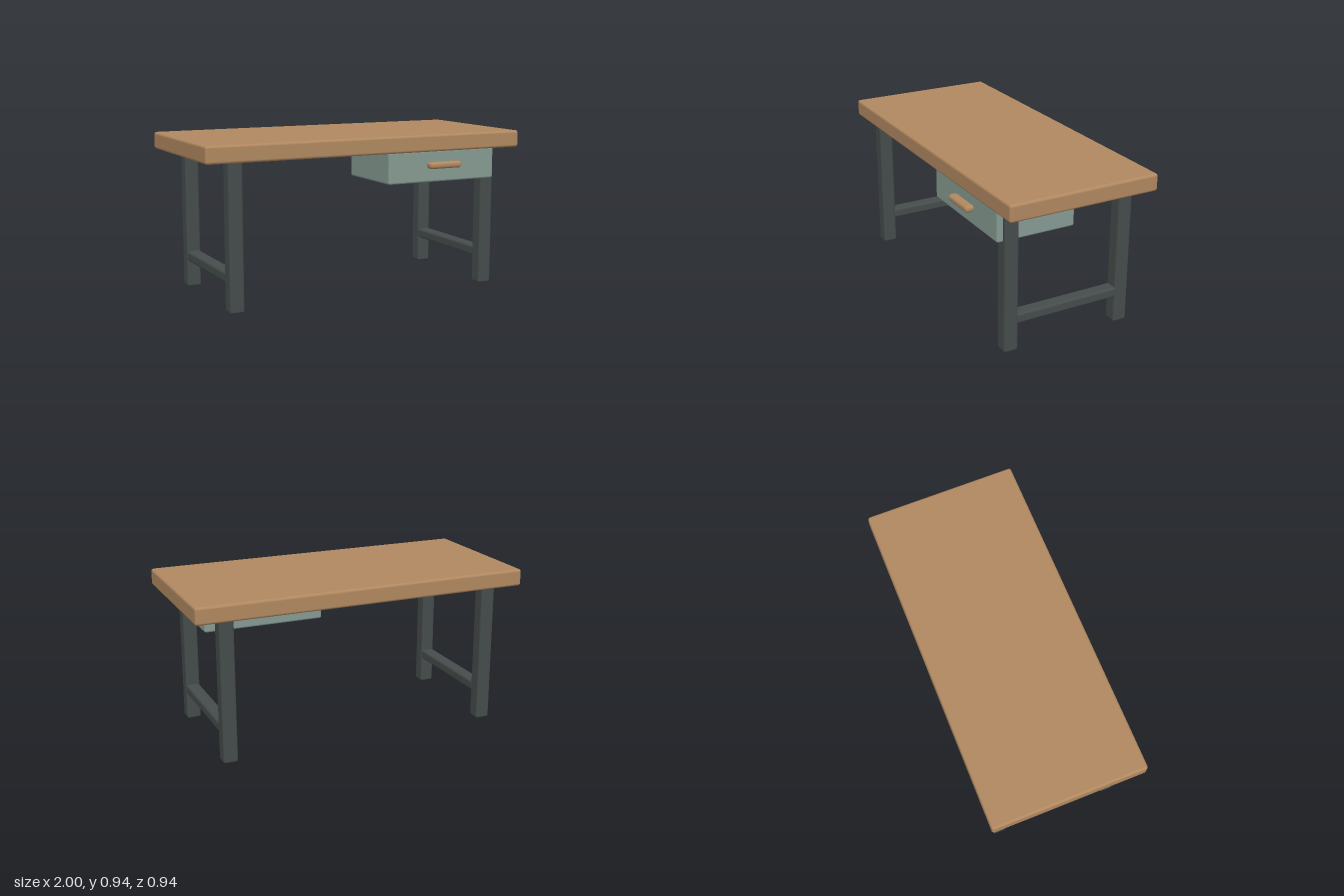
import * as THREE from 'three';
import { RoundedBoxGeometry } from 'three/addons/geometries/RoundedBoxGeometry.js';

const material = (name, color) => {
  const m = new THREE.MeshStandardMaterial({ color });
  m.name = name;
  return m;
};

// Rounded box spanning min..max on each axis
function block(name, mat, [x0, x1], [y0, y1], [z0, z1], radius) {
  const geometry = new RoundedBoxGeometry(x1 - x0, y1 - y0, z1 - z0, 4, radius);
  const mesh = new THREE.Mesh(geometry, mat);
  mesh.name = name;
  mesh.position.set((x0 + x1) / 2, (y0 + y1) / 2, (z0 + z1) / 2);
  return mesh;
}

export function createModel() {
  const wood = material('warm wood', 0xb08860);
  const iron = material('dark iron', 0x454c4b);
  const paint = material('sage paint', 0x869a92);

  const desk = new THREE.Group();
  desk.name = 'desk';

  // Thick top
  desk.add(block('tabletop', wood, [-1, 1], [0.838, 0.938], [-0.47, 0.44], 0.015));

  // Two leg frames, each with a low stretcher running front to back
  for (const side of [-1, 1]) {
    const frame = new THREE.Group();
    frame.name = side > 0 ? 'leftLegFrame' : 'rightLegFrame';
    const x = side * 0.8125;
    const legX = [x - 0.043, x + 0.043];
    frame.add(
      block('frontLeg', iron, legX, [0, 0.843], [0.3, 0.386], 0.015),
      block('backLeg', iron, legX, [0, 0.843], [-0.415, -0.329], 0.015),
      block('stretcher', iron, [x - 0.04, x + 0.04], [0.16, 0.222], [-0.343, 0.314], 0.015)
    );
    desk.add(frame);
  }

  // Drawer box hung under the top, with its pull
  const drawer = new THREE.Group();
  drawer.name = 'drawer';
  drawer.add(
    block('drawerBox', paint, [0.11, 0.83], [0.657, 0.845], [-0.055, 0.42], 0.012),
    block('drawerPull', wood, [0.362, 0.578], [0.739, 0.778], [0.414, 0.47], 0.017)
  );
  desk.add(drawer);

  return desk;
}
